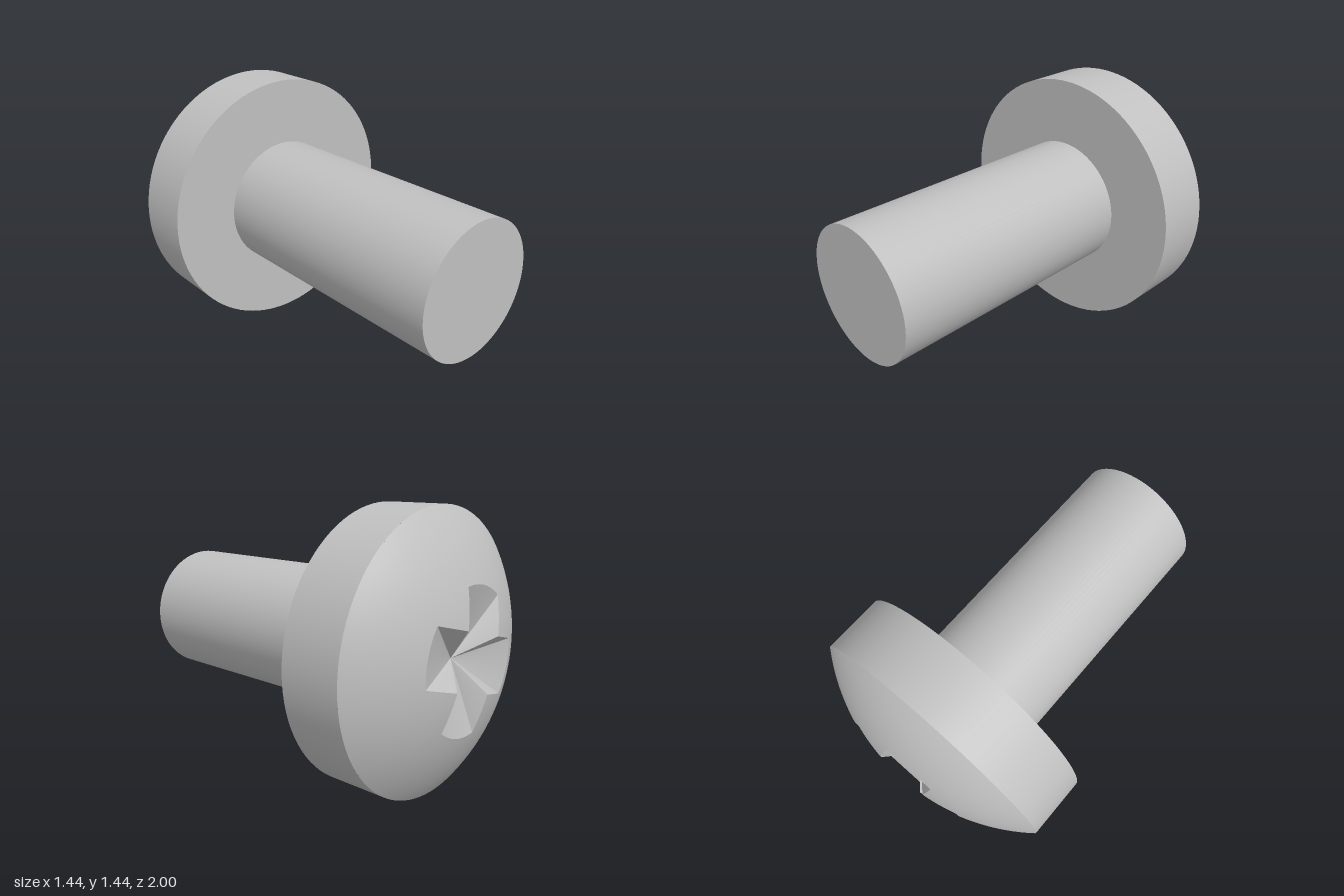
import * as THREE from 'three';

const HEAD_R = 0.72, SHANK_R = 0.36, RIM_Z = -0.765, SEAT_Z = -0.44;
const APEX_Z = -1.017, SPHERE_R = 1.155;
const ARM_R = 0.365, ARM_HALF = 0.141, TURN = 14.7 * Math.PI / 180;

// Height of the domed head at a distance r from the axis
const domeZ = (r) => APEX_Z + SPHERE_R - Math.sqrt(SPHERE_R * SPHERE_R - r * r);

// Outline of the cross-shaped recess as angle and radius, four equal arms
function crossOutline() {
  const corner = Math.asin(ARM_HALF / ARM_R), q = Math.PI / 4, out = [];
  const spans = [[-q, -corner, 6], [-corner, corner, 12], [corner, q, 6]];
  for (let arm = 0; arm < 4; arm++) {
    for (const [from, to, n] of spans) {
      for (let i = 0; i < n; i++) {
        const phi = from + (to - from) * i / n;
        const r = Math.min(ARM_R, ARM_HALF / Math.max(Math.abs(Math.sin(phi)), 1e-6));
        out.push({ angle: phi + TURN + arm * Math.PI / 2, r });
      }
    }
  }
  return out;
}

function buildGeometry(positions, index) {
  const g = new THREE.BufferGeometry();
  g.setAttribute('position', new THREE.Float32BufferAttribute(positions, 3));
  if (index) g.setIndex(index);
  g.computeVertexNormals();
  return g;
}

// Dome surface between the recess outline and the head rim
function domeGeometry(outline, rings = 14) {
  const pos = [], idx = [], n = outline.length;
  for (let k = 0; k <= rings; k++) {
    for (const { angle, r } of outline) {
      const d = r + (HEAD_R - r) * k / rings;
      pos.push(d * Math.cos(angle), d * Math.sin(angle), k === rings ? RIM_Z : domeZ(d));
    }
  }
  for (let k = 0; k < rings; k++) {
    for (let i = 0; i < n; i++) {
      const a = k * n + i, b = k * n + (i + 1) % n, c = b + n, d = a + n;
      idx.push(a, c, d, a, b, c);
    }
  }
  return buildGeometry(pos, idx);
}

// Faceted recess walls converging on a point on the axis
function recessGeometry(outline, depthZ) {
  const pos = [], n = outline.length;
  const point = ({ angle, r }) => [r * Math.cos(angle), r * Math.sin(angle), domeZ(r)];
  for (let i = 0; i < n; i++) {
    pos.push(0, 0, depthZ, ...point(outline[(i + 1) % n]), ...point(outline[i]));
  }
  return buildGeometry(pos);
}

export function createModel() {
  const model = new THREE.Group();
  model.name = 'screw';
  const steel = new THREE.MeshStandardMaterial({ color: 0xc0c0c0 });
  steel.name = 'steel grey';

  const add = (name, geometry, z = 0) => {
    const mesh = new THREE.Mesh(geometry, steel);
    mesh.name = name;
    mesh.position.set(0, HEAD_R, z);
    model.add(mesh);
  };

  // Shank
  const shankLength = 1 - SEAT_Z;
  add('shank', new THREE.CylinderGeometry(SHANK_R, SHANK_R, shankLength, 96)
    .rotateX(Math.PI / 2), (1 + SEAT_Z) / 2);

  // Head: underside, straight side, dome and drive recess
  add('headUnderside', new THREE.RingGeometry(SHANK_R, HEAD_R, 96), SEAT_Z);
  add('headSide', new THREE.CylinderGeometry(HEAD_R, HEAD_R, SEAT_Z - RIM_Z, 96, 1, true)
    .rotateX(Math.PI / 2), (SEAT_Z + RIM_Z) / 2);
  const outline = crossOutline();
  add('headDome', domeGeometry(outline));
  add('driveRecess', recessGeometry(outline, -0.85));

  return model;
}
